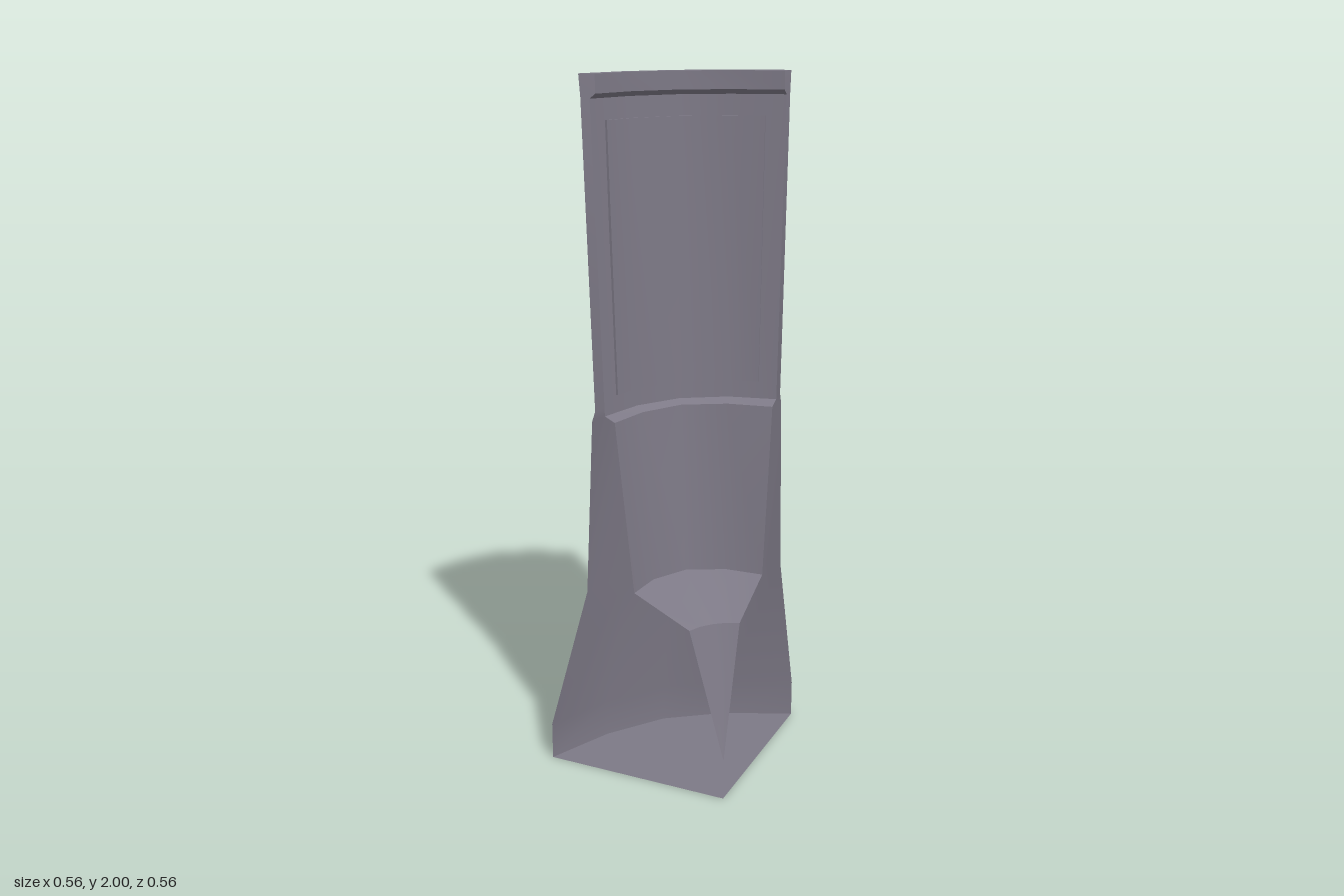
import * as THREE from 'three';
import { toCreasedNormals } from 'three/addons/utils/BufferGeometryUtils.js';

const AXIS = 0.277; // the quarter shell turns about x = z = AXIS
const STEP = Math.PI / 8;
const FULL = [0, 1, 2, 3, 4].map((i) => i * STEP);
const INSET = 0.144;
const PANEL = [INSET, STEP, 2 * STEP, 3 * STEP, Math.PI / 2 - INSET];

const material = new THREE.MeshStandardMaterial({ color: 0x7d7986, side: THREE.DoubleSide });

// Point on a five-cornered quarter ring; m1 and m2 scale the radius at 22.5 and 45 degrees
function ringPoint([r, y, m1 = 1, m2 = 1], angle) {
  const scale = [1, m1, m2, m1, 1];
  const corner = (i) => new THREE.Vector2(Math.cos(i * STEP), Math.sin(i * STEP)).multiplyScalar(r * scale[i]);
  const k = Math.min(3, Math.floor(angle / STEP + 1e-6));
  const p = corner(k).lerp(corner(k + 1), angle / STEP - k);
  return [AXIS - p.x, y, AXIS - p.y];
}

// Sweeps a profile of rings through the given angles
function sweep(name, rings, angles = FULL, capEnds = false) {
  const positions = [];
  const index = [];
  const n = angles.length;
  rings.forEach((ring) => angles.forEach((a) => positions.push(...ringPoint(ring, a))));
  for (let j = 0; j < rings.length - 1; j++) {
    for (let i = 0; i < n - 1; i++) {
      const a = j * n + i, b = a + n;
      if (rings[j + 1][0] > 0) index.push(a, b, b + 1);
      if (rings[j][0] > 0) index.push(a, b + 1, a + 1);
      else if (rings[j + 1][0] === 0) continue;
      if (rings[j + 1][0] === 0) index.push(a, b, a + 1);
    }
  }
  if (capEnds) {
    const e = n - 1;
    index.push(0, 2 * n, n, 0, 3 * n, 2 * n);
    index.push(e, n + e, 2 * n + e, e, 2 * n + e, 3 * n + e);
  }
  const geometry = new THREE.BufferGeometry();
  geometry.setAttribute('position', new THREE.Float32BufferAttribute(positions, 3));
  geometry.setIndex(index);
  const mesh = new THREE.Mesh(toCreasedNormals(geometry, 0.6), material);
  mesh.name = name;
  return mesh;
}

export function createModel() {
  const group = new THREE.Group();
  group.name = 'quarterColumn';

  // Flat wedge underneath
  group.add(sweep('floor', [[0, 0], [0.555, 0, 0.919, 0.907]]));

  // Flared outer skin
  group.add(sweep('outerWall', [
    [0.555, 0, 0.919, 0.907],
    [0.555, 0.11, 0.919, 0.907],
    [0.427, 0.56, 0.96, 0.96],
    [0.402, 1.07, 0.965, 0.965],
    [0.392, 1.1, 0.97, 0.97],
    [0.42, 1.94, 0.96, 0.962],
    [0.425, 2, 0.96, 0.962],
  ]));

  // Top lip with the small undercut below it
  group.add(sweep('rim', [
    [0.425, 2, 0.96, 0.962],
    [0.377, 2, 0.98, 0.984],
    [0.377, 1.95, 0.98, 0.984],
    [0.393, 1.937, 0.975, 0.975],
  ]));

  // Upper inner lining and its ledge
  group.add(sweep('innerWall', [
    [0.393, 1.937, 0.975, 0.975],
    [0.362, 1.09, 0.99, 1],
    [0.332, 1.075, 1.01, 1.04],
  ]));

  // Tapering core that closes to a hanging point
  group.add(sweep('core', [
    [0.332, 1.075, 1.01, 1.04],
    [0.277, 0.583, 1.06, 1.11],
    [0.107, 0.5, 0.92, 0.89],
    [0, 0.12],
  ]));

  // Thin curved panel, just proud of both faces of the upper wall
  group.add(sweep('wallPanel', [
    [0.395, 1.14, 0.97, 0.97],
    [0.421, 1.88, 0.962, 0.962],
    [0.385, 1.88, 0.976, 0.977],
    [0.358, 1.14, 0.989, 0.998],
    [0.395, 1.14, 0.97, 0.97],
  ], PANEL, true));

  return group;
}
